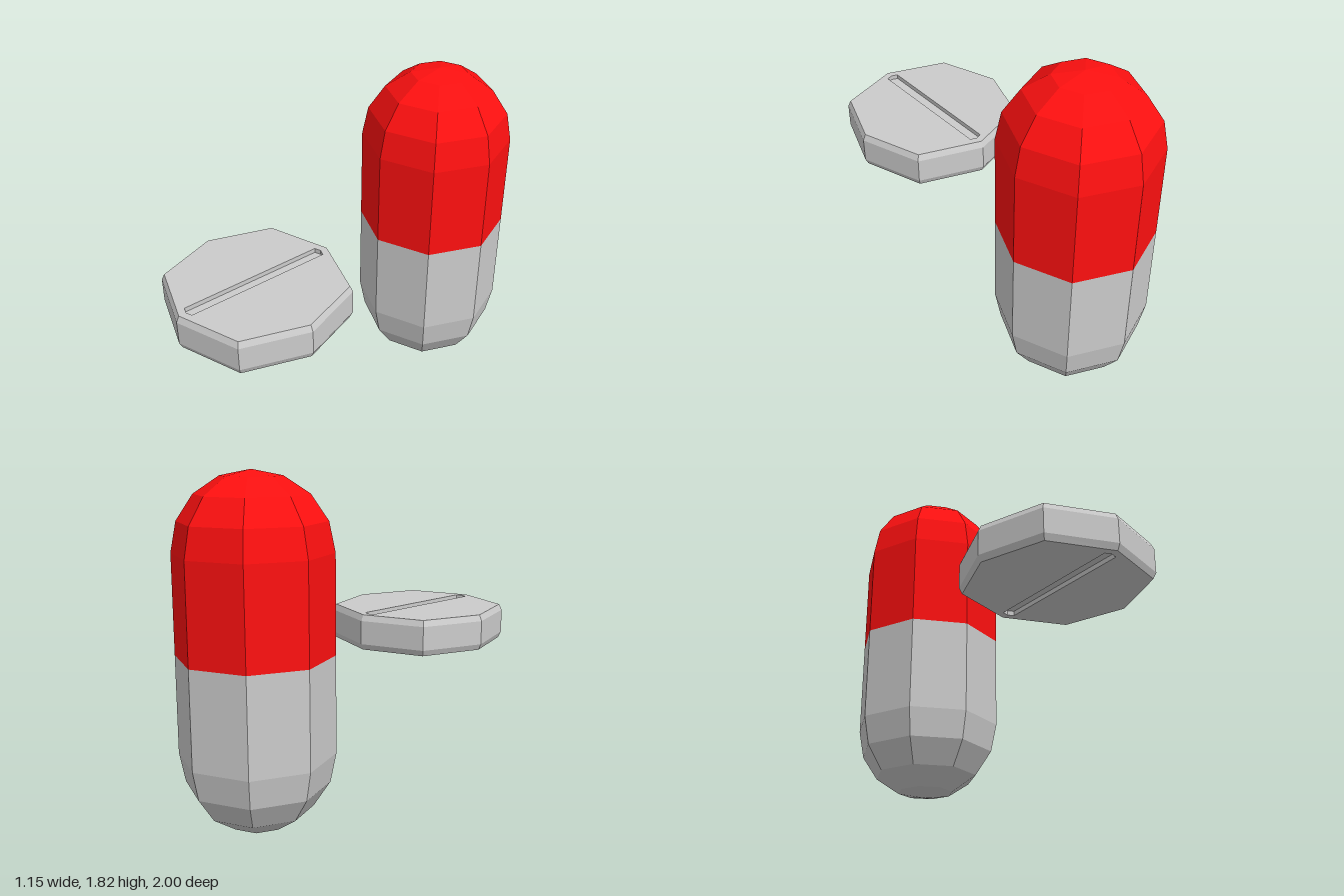
import * as THREE from 'three';

const grey = new THREE.MeshStandardMaterial({ color: 0xcccccc, flatShading: true });
const red = new THREE.MeshStandardMaterial({ color: 0xff1010, flatShading: true });

function addMesh(parent, name, geometry, material) {
  const mesh = new THREE.Mesh(geometry, material);
  mesh.name = name;
  parent.add(mesh);
  return mesh;
}

// Wall between two rings of [x, z] points at heights y0 and y1
function band(ring0, y0, ring1, y1) {
  const pos = [];
  ring0.forEach(([ax, az], i) => {
    const j = (i + 1) % ring0.length;
    const [bx, bz] = ring0[j], [cx, cz] = ring1[i], [dx, dz] = ring1[j];
    pos.push(ax, y0, az, cx, y1, cz, dx, y1, dz);
    pos.push(ax, y0, az, dx, y1, dz, bx, y0, bz);
  });
  const g = new THREE.BufferGeometry();
  g.setAttribute('position', new THREE.Float32BufferAttribute(pos, 3));
  g.computeVertexNormals();
  return g;
}

// Flat upward face bounded by a ring, with an optional hole
function face(ring, y, hole) {
  const flat = (r) => r.map(([x, z]) => new THREE.Vector2(x, -z));
  const shape = new THREE.Shape(flat(ring));
  if (hole) shape.holes.push(new THREE.Path(flat(hole)));
  return new THREE.ShapeGeometry(shape).rotateX(-Math.PI / 2).translate(0, y, 0);
}

function createCapsule() {
  const capsule = new THREE.Group();
  capsule.name = 'capsule';
  const R = 0.4, half = 0.91;
  // Half profile, from the pole to the seam
  const profile = [];
  for (let i = 0; i <= 4; i++) {
    const a = (i / 4) * Math.PI / 2;
    profile.push(new THREE.Vector2(R * Math.sin(a), R - R * Math.cos(a)));
  }
  profile.push(new THREE.Vector2(R, half));
  const upper = profile.map((p) => new THREE.Vector2(p.x, 2 * half - p.y)).reverse();
  const start = Math.PI / 6;
  addMesh(capsule, 'capsuleLowerHalf', new THREE.LatheGeometry(profile, 8, start), grey);
  addMesh(capsule, 'capsuleUpperHalf', new THREE.LatheGeometry(upper, 8, start), red);
  capsule.position.set(0.19, 0, -0.614);
  return capsule;
}

function createTablet() {
  const tablet = new THREE.Group();
  tablet.name = 'tablet';
  // Eight-sided outline, diagonal corners slightly further out
  const outline = (inset) => Array.from({ length: 8 }, (_, i) => {
    const a = i * Math.PI / 4, r = (i % 2 ? 0.489 : 0.466) - inset;
    return [r * Math.cos(a), r * Math.sin(a)];
  });
  const groove = [[0.41, 0], [0.398, 0.034], [-0.398, 0.034],
    [-0.41, 0], [-0.398, -0.034], [0.398, -0.034]];
  const top = 0.098, shoulder = 0.065, floor = 0.073;
  const rim = outline(0), edge = outline(0.016);

  // Identical halves, the lower one flipped about the groove axis
  for (const side of ['upper', 'lower']) {
    const half = new THREE.Group();
    half.name = side + 'TabletHalf';
    addMesh(half, 'rim', band(rim, 0, rim, shoulder), grey);
    addMesh(half, 'bevel', band(rim, shoulder, edge, top), grey);
    addMesh(half, 'face', face(edge, top, groove), grey);
    addMesh(half, 'grooveWall', band(groove, top, groove, floor), grey);
    addMesh(half, 'grooveFloor', face(groove, floor), grey);
    if (side === 'lower') half.rotation.x = Math.PI;
    tablet.add(half);
  }
  tablet.rotation.y = THREE.MathUtils.degToRad(-105);
  tablet.position.set(-0.128, 0.911, 0.547);
  return tablet;
}

export function createModel() {
  const model = new THREE.Group();
  model.name = 'pills';
  model.add(createCapsule(), createTablet());
  return model;
}
